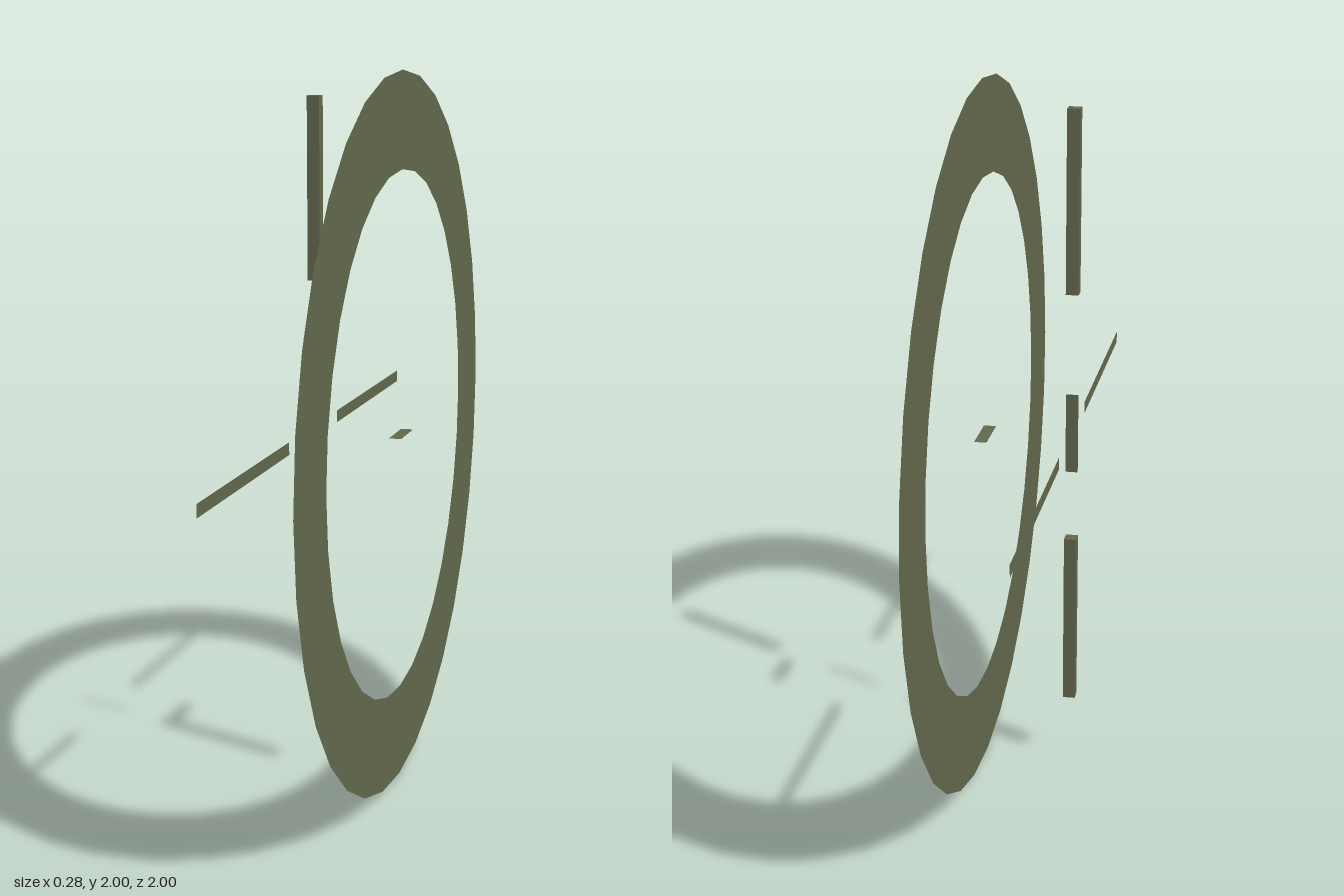
import * as THREE from 'three';

export function createModel() {
  const model = new THREE.Group();
  const olive = new THREE.MeshStandardMaterial({
    color: 0x62674c, flatShading: true, side: THREE.DoubleSide,
  });
  const frontX = 0.122; // plane of the ring
  const backX = -0.125; // plane of the crosshair bars
  const barX = -0.12;
  const width = 0.035;

  function add(name, geometry, x, y, z) {
    const mesh = new THREE.Mesh(geometry, olive);
    mesh.name = name;
    mesh.position.set(x, y, z);
    model.add(mesh);
  }

  // Flat 32-sided ring facing sideways
  add('ring', new THREE.RingGeometry(0.735, 1, 32).rotateY(Math.PI / 2), frontX, 1, 0);

  // Upright square posts
  const post = new THREE.BoxGeometry(width, 0.505, width);
  add('upperPost', post, backX, 1.678, 0);
  add('lowerPost', post, backX, 0.453, 0);

  // Paper-thin level bars, slightly off centre
  const bar = new THREE.PlaneGeometry(0.71, width).rotateY(Math.PI / 2);
  add('frontBar', bar, barX, 1.003, 0.623);
  add('backBar', bar, barX, 1.003, -0.547);

  // Small centre plates: one upright, one lying flat
  add('centreUprightPlate', new THREE.PlaneGeometry(width, 0.23), backX, 1.02, 0);
  add('centreFlatPlate', new THREE.PlaneGeometry(width, 0.137).rotateX(-Math.PI / 2), frontX, 1.003, 0);

  return model;
}
